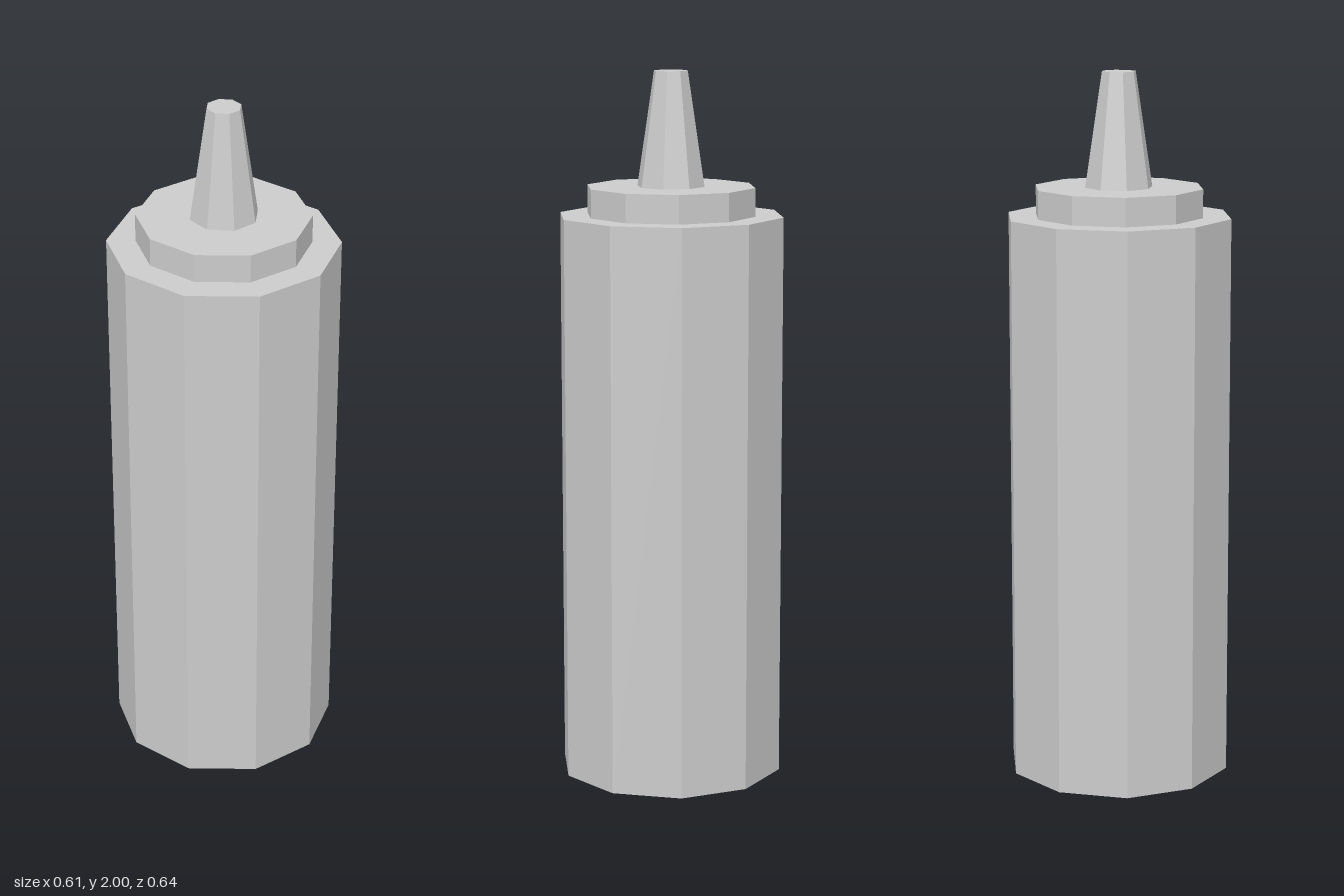
import * as THREE from 'three';

export function createModel() {
  const group = new THREE.Group();
  const material = new THREE.MeshStandardMaterial({ color: 0xcccccc, flatShading: true });

  // Upright faceted section between two heights
  function addSection(name, topRadius, bottomRadius, y0, y1, sides) {
    const geometry = new THREE.CylinderGeometry(topRadius, bottomRadius, y1 - y0, sides);
    const mesh = new THREE.Mesh(geometry, material);
    mesh.name = name;
    mesh.position.y = (y0 + y1) / 2;
    group.add(mesh);
  }

  addSection('bottleBody', 0.32, 0.32, 0, 1.6, 10);
  addSection('cap', 0.24, 0.24, 1.6, 1.68, 10);
  addSection('nozzle', 0.048, 0.096, 1.68, 2, 8);

  return group;
}
